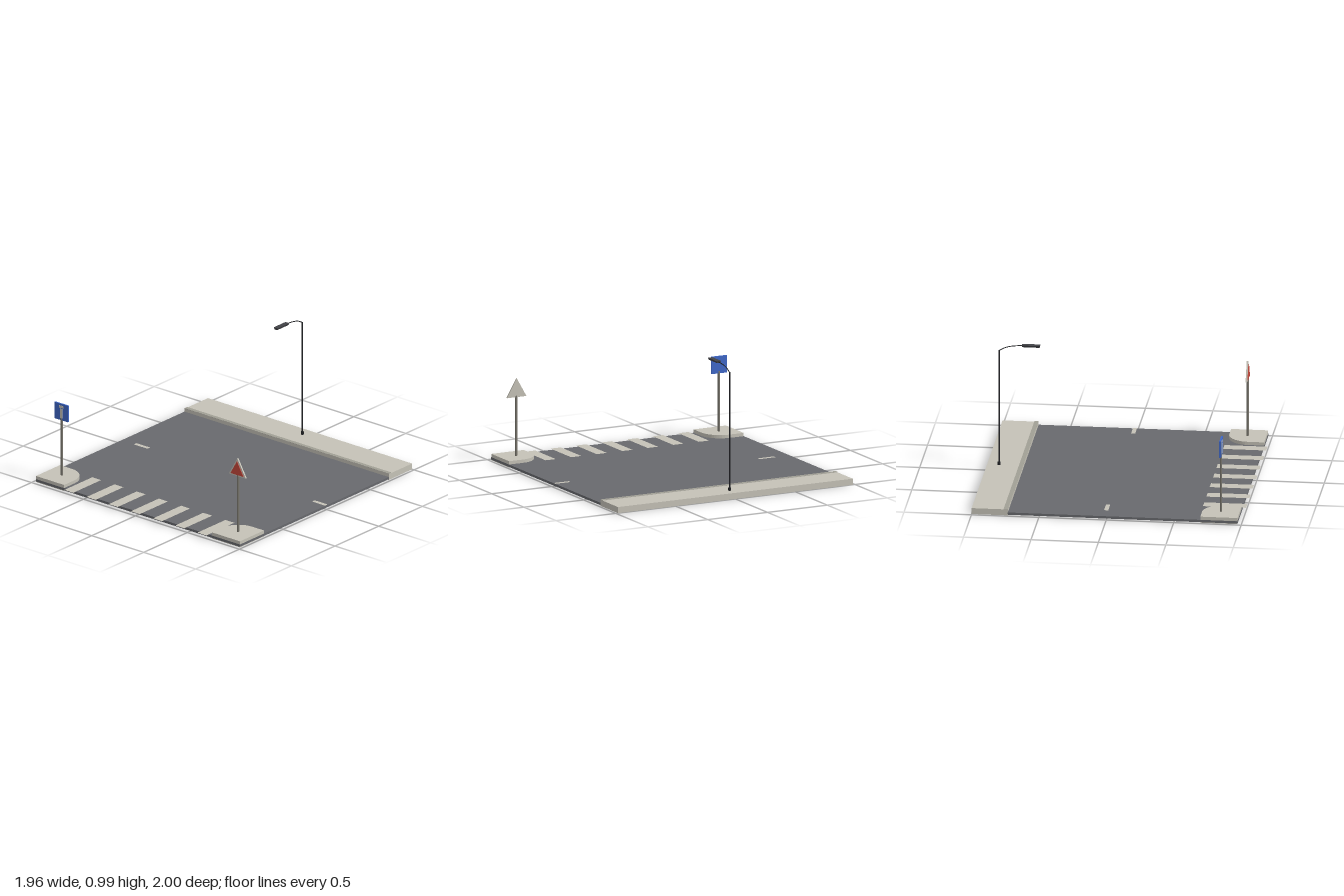
import * as THREE from 'three';

const mat = (name, color, side = THREE.FrontSide) => {
  const m = new THREE.MeshStandardMaterial({ color, side });
  m.name = name;
  return m;
};

export function createModel() {
  const root = new THREE.Group();
  const asphalt = mat('asphalt', 0x68696d);
  const concrete = mat('concrete', 0xc5c2b7, THREE.DoubleSide);
  const kerbGrey = mat('kerb grey', 0xa19f95);
  const poleGrey = mat('sign pole grey', 0x79766d);
  const black = mat('lamp black', 0x202124);
  const headGrey = mat('lamp head grey', 0x424347);
  const blue = mat('sign blue', 0x3f68c8);
  const red = mat('sign red', 0xc4473a);

  const add = (name, geo, material, x = 0, y = 0, z = 0) => {
    const mesh = new THREE.Mesh(geo, material);
    mesh.name = name;
    mesh.position.set(x, y, z);
    root.add(mesh);
    return mesh;
  };

  // box given by its limits; open = no underside
  const box = (name, material, [x0, x1], [y0, y1], [z0, z1], open = false) => {
    const g = new THREE.BoxGeometry(x1 - x0, y1 - y0, z1 - z0);
    if (open) {
      const i = Array.from(g.index.array);
      i.splice(18, 6);
      g.setIndex(i);
      g.clearGroups();
    }
    return add(name, g, material, (x0 + x1) / 2, (y0 + y1) / 2, (z0 + z1) / 2);
  };

  // flat road marking
  const marking = (name, x0, x1, z0, z1) => {
    const g = new THREE.PlaneGeometry(x1 - x0, z1 - z0).rotateX(-Math.PI / 2);
    add(name, g, concrete, (x0 + x1) / 2, 0.0255, (z0 + z1) / 2);
  };

  // road, hollow pavement and kerb
  const W = 0.982;
  box('road', asphalt, [-W, W], [0.005, 0.023], [-0.735, 0.971]);
  box('pavement', concrete, [-W, W], [0, 0.046], [-1, -0.763], true);
  box('kerb', concrete, [-W, W], [0, 0.049], [-0.763, -0.732], true);
  box('kerbTop', kerbGrey, [-W, W], [0.049, 0.05], [-0.763, -0.732]);

  // zebra crossing and centre dashes
  for (let i = -3; i <= 3; i++) {
    const x = i * 0.2135;
    marking('crossingStripe', x - 0.043, x + 0.043, 0.68, 1);
  }
  marking('centreDash', -0.857, -0.725, -0.033, -0.002);
  marking('centreDash', 0.857, W, -0.033, -0.002);

  // rounded corner islands, shape y = -z
  for (const s of [-1, 1]) {
    const r = 0.155, out = W - 0.001, back = 0.695, front = 0.97, inner = 0.711;
    const shape = new THREE.Shape();
    shape.moveTo(s * out, -front);
    shape.lineTo(s * out, -back);
    shape.lineTo(s * (inner + r), -back);
    for (let k = 1; k <= 12; k++) {
      const a = (k / 12) * Math.PI / 2;
      shape.lineTo(s * (inner + r - r * Math.sin(a)), -(back + r - r * Math.cos(a)));
    }
    shape.lineTo(s * inner, -front);
    const g = new THREE.ExtrudeGeometry(shape, { depth: 0.048, bevelEnabled: false });
    add('cornerIsland', g.rotateX(-Math.PI / 2), concrete);
  }

  // sign poles
  const signZ = 0.833;
  for (const s of [-1, 1]) {
    add('signPole', new THREE.CylinderGeometry(0.009, 0.009, 0.46, 12), poleGrey, s * 0.848, 0.272, signZ);
  }

  // square blue sign with a pale symbol
  box('squareSign', blue, [-0.912, -0.784], [0.486, 0.616], [signZ - 0.006, signZ + 0.006]);
  const face = [signZ + 0.006, signZ + 0.009];
  box('signBar', concrete, [-0.87, -0.826], [0.583, 0.602], face);
  box('signStem', concrete, [-0.858, -0.838], [0.504, 0.577], face);

  // triangular warning sign
  const triangle = (name, material, halfWidth, y0, y1, z0, depth) => {
    const shape = new THREE.Shape([
      new THREE.Vector2(-halfWidth, y0), new THREE.Vector2(halfWidth, y0), new THREE.Vector2(0, y1)]);
    add(name, new THREE.ExtrudeGeometry(shape, { depth, bevelEnabled: false }), material, 0.845, 0, z0);
  };
  triangle('triangleSign', concrete, 0.081, 0.491, 0.632, signZ - 0.006, 0.012);
  triangle('triangleFace', red, 0.062, 0.501, 0.608, signZ + 0.006, 0.005);

  // street lamp
  const lampZ = -0.911;
  add('lampBase', new THREE.CylinderGeometry(0.011, 0.011, 0.022, 12), black, 0, 0.057, lampZ);
  add('lampPole', new THREE.CylinderGeometry(0.006, 0.006, 0.894, 10), black, 0, 0.493, lampZ);
  const arm = new THREE.CatmullRomCurve3([
    [0.937, lampZ], [0.953, -0.885], [0.969, -0.845], [0.979, -0.79], [0.982, -0.735],
  ].map(([y, z]) => new THREE.Vector3(0, y, z)));
  add('lampArm', new THREE.TubeGeometry(arm, 16, 0.0035, 8), black);

  // lamp head, narrower below
  const head = new THREE.BoxGeometry(0.038, 0.016, 0.135);
  const p = head.attributes.position;
  for (let i = 0; i < p.count; i++) {
    if (p.getY(i) < 0) p.setXYZ(i, p.getX(i) * 0.6, p.getY(i), p.getZ(i) * 0.96);
  }
  head.computeVertexNormals();
  add('lampHead', head, headGrey, 0, 0.982, -0.674);

  return root;
}
